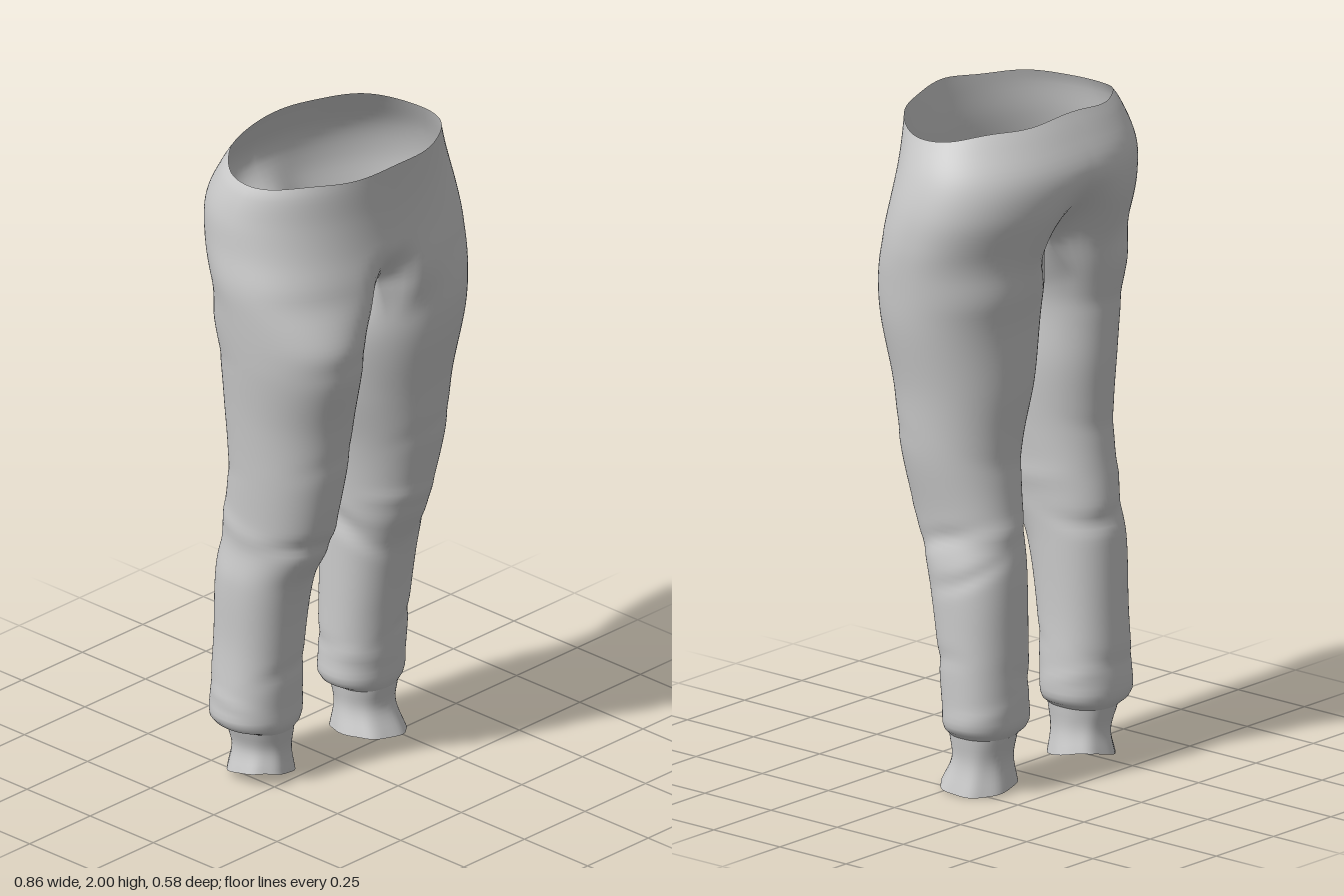
import * as THREE from 'three';
import { mergeVertices } from 'three/addons/utils/BufferGeometryUtils.js';

const CROTCH = 1.64, CENTRE = -0.03, K = 60, L = 24;

// Section tables, rows of [y, xMin, xMax, zBack, zFront], from the top down
const HIPS = [
  [2.0, -0.36, 0.325, -0.21, 0.278],
  [1.95, -0.39, 0.35, -0.24, 0.272],
  [1.85, -0.412, 0.395, -0.287, 0.264],
  [1.75, -0.42, 0.42, -0.285, 0.266],
  [1.65, -0.43, 0.425, -0.254, 0.278],
  [1.55, -0.424, 0.418, -0.216, 0.286],
  [1.4, -0.408, 0.402, -0.182, 0.282],
];
const LEGS = {
  right: [
    [1.65, -0.43, -0.03, -0.254, 0.278],
    [1.55, -0.424, -0.04, -0.216, 0.287],
    [1.4, -0.408, -0.058, -0.182, 0.282],
    [1.2, -0.38, -0.055, -0.175, 0.232],
    [1.0, -0.36, -0.07, -0.168, 0.2],
    [0.78, -0.345, -0.088, -0.195, 0.145],
    [0.66, -0.355, -0.095, -0.205, 0.085],
    [0.45, -0.35, -0.1, -0.212, 0.045],
    [0.26, -0.36, -0.095, -0.218, 0.03],
    [0.195, -0.357, -0.098, -0.215, 0.028],
    [0.17, -0.305, -0.13, -0.195, 0.015],
  ],
  left: [
    [1.65, -0.04, 0.425, -0.254, 0.268],
    [1.55, -0.068, 0.418, -0.216, 0.268],
    [1.4, -0.072, 0.402, -0.182, 0.262],
    [1.2, -0.04, 0.367, -0.17, 0.228],
    [1.0, 0.015, 0.345, -0.152, 0.2],
    [0.78, 0.05, 0.31, -0.172, 0.15],
    [0.66, 0.055, 0.322, -0.185, 0.1],
    [0.45, 0.058, 0.32, -0.187, 0.06],
    [0.26, 0.058, 0.317, -0.187, 0.04],
    [0.195, 0.06, 0.315, -0.185, 0.035],
    [0.17, 0.098, 0.287, -0.165, 0.025],
  ],
};
const CUFFS = {
  right: [[0.17, -0.305, -0.13, -0.195, 0.015], [0.1, -0.285, -0.135, -0.18, 0.0], [0.03, -0.302, -0.12, -0.19, 0.005]],
  left: [[0.17, 0.098, 0.287, -0.165, 0.025], [0.1, 0.105, 0.28, -0.15, 0.018], [0.02, 0.088, 0.3, -0.16, 0.055]],
};
// Cloth folds: [height, tilt, phase, width, depth]
const FOLDS = {
  right: [[1.4, 0.02, 2, 0.03, -0.012], [1.05, 0.05, 2, 0.03, -0.012], [0.77, 0.04, 1, 0.025, -0.045],
    [0.84, 0.03, 4, 0.03, 0.025], [0.34, 0.04, 2, 0.025, -0.03], [0.27, 0.03, 5, 0.02, 0.02]],
  left: [[1.02, 0.05, 1, 0.03, -0.012], [0.75, 0.05, 5, 0.025, -0.045], [0.67, 0.06, 4, 0.025, -0.035],
    [0.81, 0.03, 2, 0.025, 0.025], [0.36, 0.05, 0, 0.025, -0.03], [0.27, 0.03, 3, 0.02, 0.02]],
};

const smooth = THREE.MathUtils.smoothstep, lerp = THREE.MathUtils.lerp;
const power = (v, p) => Math.sign(v) * Math.abs(v) ** p;

// Smooth (Hermite) lookup of a section at height y
function section(table, y) {
  const n = table.length - 1;
  if (y >= table[0][0]) return table[0].slice(1);
  if (y <= table[n][0]) return table[n].slice(1);
  let k = 0;
  while (table[k + 1][0] > y) k++;
  const a = table[k], b = table[k + 1], h = b[0] - a[0], t = (y - a[0]) / h;
  const slope = (i, c) => {
    const p = table[Math.max(i - 1, 0)], q = table[Math.min(i + 1, n)];
    return (q[c] - p[c]) / (q[0] - p[0]);
  };
  return [1, 2, 3, 4].map((c) =>
    (2 * t ** 3 - 3 * t ** 2 + 1) * a[c] + (t ** 3 - 2 * t * t + t) * h * slope(k, c) +
    (3 * t * t - 2 * t ** 3) * b[c] + (t ** 3 - t * t) * h * slope(k + 1, c));
}

// One half of the hip outline, angle 0 at the front to PI at the back
function hipPoint(s, angle, y) {
  const [x0, x1, z0, z1] = section(HIPS, y);
  const width = s > 0 ? x1 - CENTRE : CENTRE - x0;
  const front = Math.cos(angle) > 0;
  const p = lerp(0.9, front ? 1.04 : 0.92, smooth(y, 1.62, 1.95));
  const dx = width * power(Math.sin(angle), p);
  let z = (z0 + z1) / 2 + ((z1 - z0) / 2) * power(Math.cos(angle), p);
  // fabric tucks under at front and seat towards the crotch
  const low = 1 - smooth(y, CROTCH - 0.06, front ? 1.74 : 1.84);
  z += (front ? -0.09 : 0.12) * low * Math.exp(-((dx / (front ? 0.065 : 0.095)) ** 2));
  return [CENTRE + s * dx, y, z];
}

// Point on a leg outline, angle 0 at the front, PI/2 outward
function legPoint(table, folds, s, angle, y) {
  const [x0, x1, z0, z1] = section(table, y);
  let r = 1;
  for (const [h, tilt, phase, w, depth] of folds) {
    const d = (y - h - tilt * Math.sin(angle + phase)) / w;
    r += depth * Math.exp(-d * d) * (0.6 + 0.7 * Math.sin(angle * 2 + phase));
  }
  const p = lerp(0.9, 0.98, smooth(y, 0.5, 1.2));
  return [
    (x0 + x1) / 2 + s * r * ((x1 - x0) / 2) * power(Math.sin(angle), p), y,
    (z0 + z1) / 2 + r * ((z1 - z0) / 2) * power(Math.cos(angle), p)];
}

// Adds quads between rows of points listed from the top down
function addSheet(out, rows, s) {
  for (let j = 0; j + 1 < rows.length; j++) {
    for (let i = 0; i + 1 < rows[j].length; i++) {
      const a = rows[j + 1][i], b = rows[j + 1][i + 1], c = rows[j][i + 1], d = rows[j][i];
      const tris = s > 0 ? [a, b, c, a, c, d] : [a, c, b, a, d, c];
      for (const p of tris) out.push(...p);
    }
  }
}

function makeMesh(name, positions, material) {
  let geo = new THREE.BufferGeometry();
  geo.setAttribute('position', new THREE.Float32BufferAttribute(positions, 3));
  geo = mergeVertices(geo, 1e-4);
  geo.computeVertexNormals();
  const mesh = new THREE.Mesh(geo, material);
  mesh.name = name;
  return mesh;
}

// Hip half from the wavy waist rim down to the crotch line
function hipRows(s) {
  const rows = [];
  for (let j = 0; j <= 18; j++) {
    const row = [];
    for (let i = 0; i <= K; i++) {
      const t = (i / K) * Math.PI;
      const dip = s > 0 ? 0.035 : 0.025;
      const rim = 1.993 - dip * Math.sin(t) ** 4 + 0.007 * Math.cos(6 * t) * Math.cos(t) ** 2;
      row.push(hipPoint(s, t, lerp(rim, CROTCH, j / 18)));
    }
    rows.push(row);
  }
  return rows;
}

// Leg tube: the half-hip outline closed by the inner seam, rounding into a leg
function legRows(side, s) {
  const rows = [], count = 84, tuck = 0.75;
  for (let j = 0; j <= count; j++) {
    const y = lerp(CROTCH, 0.17, j / count);
    const w = 1 - smooth(y, 1.46, CROTCH);
    const front = hipPoint(s, 0, y), back = hipPoint(s, Math.PI, y);
    const row = [];
    for (let i = 0; i <= K + L; i++) {
      const outer = i <= K, u = outer ? i / K : (i - K) / L;
      const angle = outer ? lerp(-tuck, Math.PI + tuck, u) : lerp(Math.PI + tuck, 2 * Math.PI - tuck, u);
      const hip = outer ? hipPoint(s, u * Math.PI, y) : [CENTRE, y, lerp(back[2], front[2], u)];
      const leg = legPoint(LEGS[side], FOLDS[side], s, angle, y);
      const sag = outer ? 0 : 0.06 * Math.sin(Math.PI * u) * smooth(y, 1.25, CROTCH);
      row.push([lerp(hip[0], leg[0], w), y - sag, lerp(hip[2], leg[2], w)]);
    }
    rows.push(row);
  }
  return rows;
}

// Ankle cuff with an uneven hem and soft ribs
function cuffRows(side, s) {
  const rows = [], table = CUFFS[side], end = table[2];
  const cx = (end[1] + end[2]) / 2, cz = (end[3] + end[4]) / 2;
  for (let j = 0; j <= 10; j++) {
    const v = j / 10, row = [];
    for (let i = 0; i <= 48; i++) {
      const t = (i / 48) * Math.PI * 2;
      const p = legPoint(table, [], s, t, lerp(0.17, end[0], v));
      const rib = 1 + 0.025 * v * Math.sin(7 * t);
      p[0] = cx + (p[0] - cx) * rib;
      p[2] = cz + (p[2] - cz) * rib;
      p[1] += v * (side === 'left' ? -0.015 * Math.sin(t) + 0.006 * Math.cos(t) - 0.004 : 0.012 * Math.sin(2 * t));
      row.push(p);
    }
    rows.push(row);
  }
  return rows;
}

export function createModel() {
  const group = new THREE.Group();
  group.name = 'trousers';
  const material = new THREE.MeshStandardMaterial({ color: 0xcccccc, side: THREE.DoubleSide });
  const cloth = [];
  for (const [side, s] of [['right', -1], ['left', 1]]) {
    addSheet(cloth, hipRows(s), s);
    addSheet(cloth, legRows(side, s), s);
    const cuff = [];
    addSheet(cuff, cuffRows(side, s), s);
    group.add(makeMesh(side + 'Cuff', cuff, material));
  }
  group.add(makeMesh('hipsAndLegs', cloth, material));
  return group;
}
